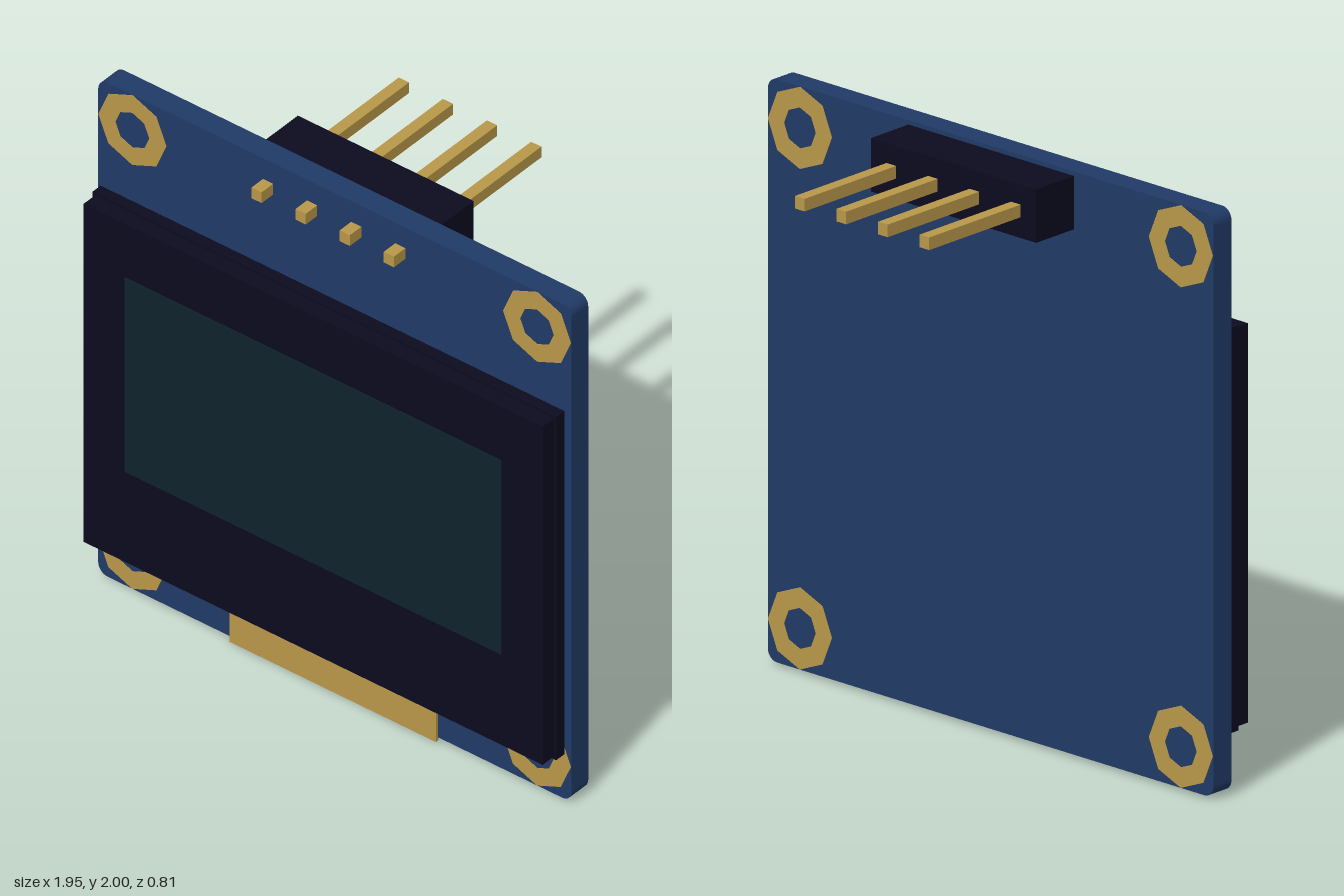
import * as THREE from 'three';

const flat = (name, color) => {
  const m = new THREE.MeshStandardMaterial({ color });
  m.name = name;
  return m;
};

export function createModel() {
  const model = new THREE.Group();
  model.name = 'displayModule';
  const blue = flat('board blue', 0x203a66);
  const gold = flat('gold', 0xb99749);
  const black = flat('dark plastic', 0x0b0b1f);
  const glass = flat('screen teal', 0x0f222c);

  const add = (name, geometry, material) => {
    const mesh = new THREE.Mesh(geometry, material);
    mesh.name = name;
    model.add(mesh);
    return mesh;
  };
  // Box given by its extents along each axis
  const box = (name, material, x0, x1, y0, y1, z0, z1) =>
    add(name, new THREE.BoxGeometry(x1 - x0, y1 - y0, z1 - z0), material)
      .position.set((x0 + x1) / 2, (y0 + y1) / 2, (z0 + z1) / 2);

  // Circuit board with rounded corners
  const backZ = 0.206, frontZ = 0.291, r = 0.04;
  const x = 0.977, y0 = 0.012, y1 = 2;
  const outline = new THREE.Shape();
  outline.absarc(x - r, y1 - r, r, 0, Math.PI / 2);
  outline.absarc(-x + r, y1 - r, r, Math.PI / 2, Math.PI);
  outline.absarc(-x + r, y0 + r, r, Math.PI, Math.PI * 1.5);
  outline.absarc(x - r, y0 + r, r, Math.PI * 1.5, Math.PI * 2);
  add('board', new THREE.ExtrudeGeometry(outline,
    { depth: frontZ - backZ, bevelEnabled: false, curveSegments: 4 }), blue)
    .position.z = backZ;

  // Octagonal mounting pads on both faces
  const octagon = (Type, radius) => new Type(Array.from({ length: 8 }, (_, i) =>
    new THREE.Vector2(radius * Math.cos(i * Math.PI / 4), radius * Math.sin(i * Math.PI / 4))));
  const pad = octagon(THREE.Shape, 0.14);
  pad.holes.push(octagon(THREE.Path, 0.07));
  const padGeometry = new THREE.ExtrudeGeometry(pad, { depth: 0.004, bevelEnabled: false });
  for (const px of [-0.835, 0.835]) {
    for (const py of [0.153, 1.859]) {
      add('frontPad', padGeometry, gold).position.set(px, py, frontZ - 0.002);
      add('backPad', padGeometry, gold).position.set(px, py, backZ - 0.002);
    }
  }

  // Stepped display panel, lit area and flex connector
  box('displayBase', black, -0.958, 0.956, 0.202, 1.583, 0.302, 0.344);
  box('displayCover', black, -0.948, 0.946, 0.212, 1.573, 0.344, 0.401);
  box('screen', glass, -0.778, 0.777, 0.577, 1.358, 0.397, 0.404);
  box('flexConnector', gold, -0.426, 0.426, 0, 0.215, 0.29, 0.303);

  // Pin header
  box('headerBlock', black, -0.365, 0.36, 1.803, 1.985, 0.028, backZ);
  for (let i = 0; i < 4; i++) {
    const px = -0.276 + i * 0.182;
    box('pin', gold, px - 0.021, px + 0.021, 1.874, 1.917, -0.404, 0.35);
  }
  return model;
}
